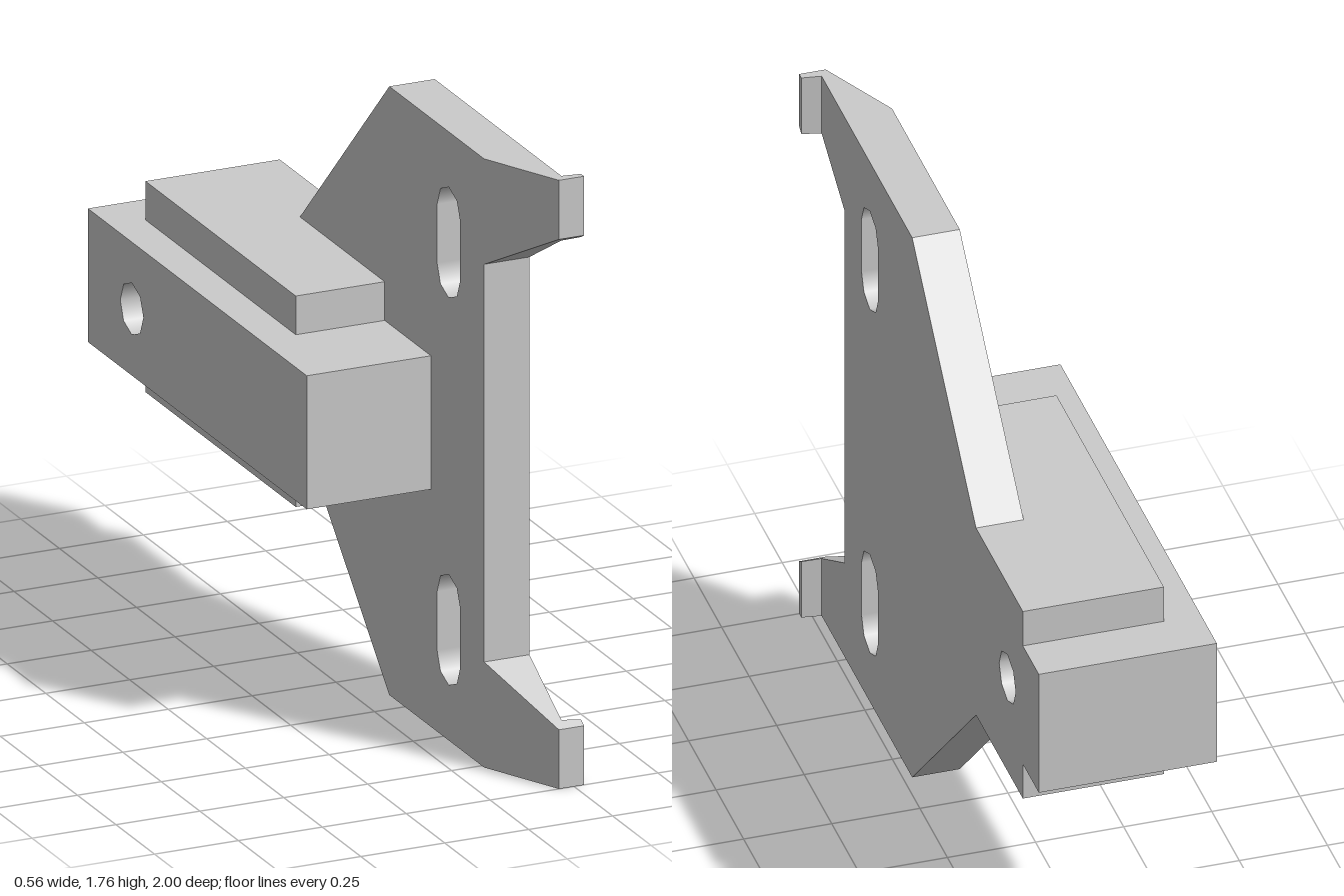
import * as THREE from 'three';

const MID = 0.88; // height of the symmetry plane
const R = 0.075; // radius of the bolt hole and of the slot ends
const TOP = 2 * MID;
const BOLT = [-0.715, MID];
const SLOT_Z = 0.535;
const SLOT_ARCS = [0.235, 0.405, TOP - 0.405, TOP - 0.235];

const material = new THREE.MeshStandardMaterial({ color: 0xcccccc });

// Closed hole from two half circles around (z, y0) and (z, y1)
function holePath(z, y0, y1) {
  const pts = [];
  for (let half = 0; half < 2; half++) {
    for (let i = 0; i <= 4; i++) {
      if (y0 === y1 && i === 4) continue;
      const a = Math.PI * (half + i / 4);
      pts.push(new THREE.Vector2(-z + R * Math.cos(a), (half ? y0 : y1) + R * Math.sin(a)));
    }
  }
  return new THREE.Path(pts);
}

// Side outline given as its upper half [z, y], mirrored about MID, extruded from x0 to x1
function layer(name, upper, x0, x1, slots) {
  const lower = upper.map(([z, y]) => [z, TOP - y]).reverse();
  const shape = new THREE.Shape([...upper, ...lower].map(([z, y]) => new THREE.Vector2(-z, y)));
  shape.holes.push(holePath(BOLT[0], MID, MID));
  const centres = [BOLT];
  if (slots) {
    for (let i = 0; i < 4; i += 2) shape.holes.push(holePath(SLOT_Z, SLOT_ARCS[i], SLOT_ARCS[i + 1]));
    SLOT_ARCS.forEach((y) => centres.push([SLOT_Z, y]));
  }
  const geo = new THREE.ExtrudeGeometry(shape, { depth: x1 - x0, bevelEnabled: false });
  geo.rotateY(Math.PI / 2).translate(x0, 0, 0);

  // Smooth normals on the hole walls only
  const p = geo.attributes.position, n = geo.attributes.normal;
  for (let i = 0; i < p.count; i++) {
    if (Math.abs(n.getX(i)) > 0.5) continue;
    for (const [z, y] of centres) {
      const dz = z - p.getZ(i), dy = y - p.getY(i);
      if (Math.hypot(dz, dy) < R * 1.05) n.setXYZ(i, 0, dy / R, dz / R);
    }
  }
  const mesh = new THREE.Mesh(geo, material);
  mesh.name = name;
  return mesh;
}

// Tapered arm with a small hooked lip; its inner edge slants towards the tip
function arm(name, isTop) {
  const profile = [[0.09, 0.765], [0.205, 1], [0.28, 1], [0.28, 0.98], [0.225, 0.972], [0.225, 0.765]];
  const shape = new THREE.Shape(profile.map(([x, z]) => new THREE.Vector2(x, -z)));
  const geo = new THREE.ExtrudeGeometry(shape, { depth: 1, bevelEnabled: false });
  geo.rotateX(-Math.PI / 2);
  const p = geo.attributes.position;
  for (let i = 0; i < p.count; i++) {
    const inner = 0.305 - (p.getZ(i) - 0.765) * 0.57;
    const upperEnd = p.getY(i) > 0.5;
    p.setY(i, isTop ? (upperEnd ? TOP : TOP - inner) : (upperEnd ? inner : 0));
  }
  geo.computeVertexNormals();
  const mesh = new THREE.Mesh(geo, material);
  mesh.name = name;
  return mesh;
}

export function createModel() {
  const group = new THREE.Group();
  group.name = 'mountingBracket';

  // Triangular plate with its neck and end tab
  group.add(layer('plate', [
    [0.765, TOP], [0.15, TOP], [-0.43, 1.185], [-0.855, 1.185], [-0.855, 1.073], [-1, 1.073],
  ], 0.09, 0.225, true));

  // Stepped block behind the plate
  group.add(layer('steppedBlock', [
    [0.42, 1.073], [0.12, 1.073], [0.12, 1.185], [-0.855, 1.185], [-0.855, 1.073], [-1, 1.073],
  ], -0.175, 0.09, false));

  // Raised rear bar
  group.add(layer('rearBar', [[0.42, 1.073], [-1, 1.073]], -0.28, -0.175, false));

  // Hooked arms at the front
  group.add(arm('lowerArm', false), arm('upperArm', true));
  return group;
}
